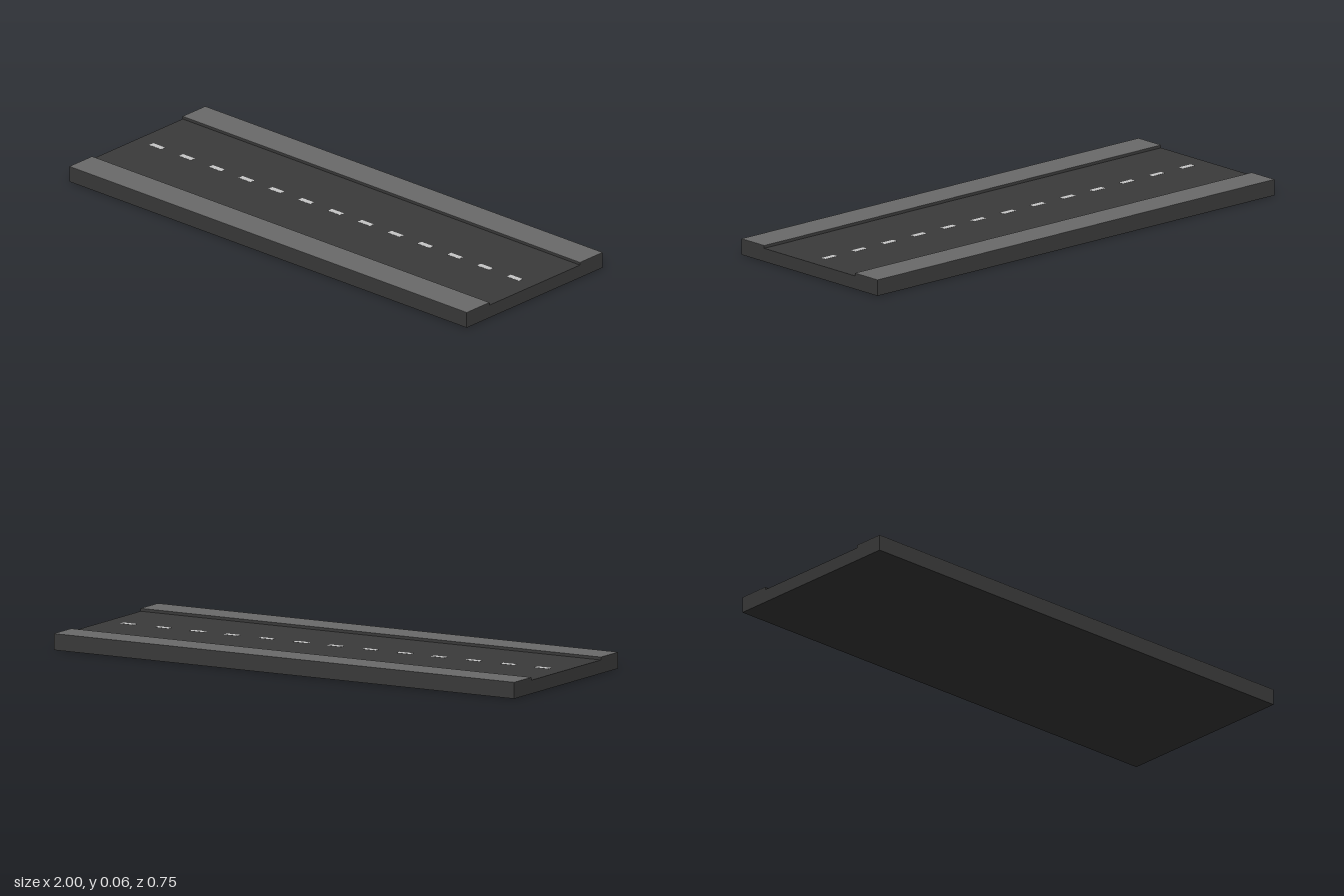
import * as THREE from 'three';

export function createModel() {
  const asphalt = new THREE.MeshStandardMaterial({ color: 0x3b3b3b });
  asphalt.name = 'asphalt';
  const paving = new THREE.MeshStandardMaterial({ color: 0x6a6a6a });
  paving.name = 'paving';
  const paint = new THREE.MeshStandardMaterial({ color: 0xc8c8c8 });
  paint.name = 'linePaint';

  const road = new THREE.Group();
  road.name = 'roadSegment';

  // Box resting on height y
  const slab = (name, [w, h, d], [x, y, z], material) => {
    const mesh = new THREE.Mesh(new THREE.BoxGeometry(w, h, d), material);
    mesh.name = name;
    mesh.position.set(x, y + h / 2, z);
    road.add(mesh);
  };

  // Roadbed
  slab('roadbed', [2, 0.051, 0.75], [0, 0, 0], asphalt);

  // Raised pavements: dark kerb body with a thin paved top
  for (const [side, s] of [['front', 1], ['back', -1]]) {
    slab(side + 'Kerb', [2, 0.01, 0.125], [0, 0.051, s * 0.3125], asphalt);
    slab(side + 'Pavement', [2, 0.001, 0.125], [0, 0.061, s * 0.3125], paving);
  }

  // Dashed centre line
  for (let i = -6; i <= 6; i++) {
    slab('centreDash', [0.06, 0.0005, 0.022], [i * 0.15, 0.051, 0], paint);
  }

  return road;
}
